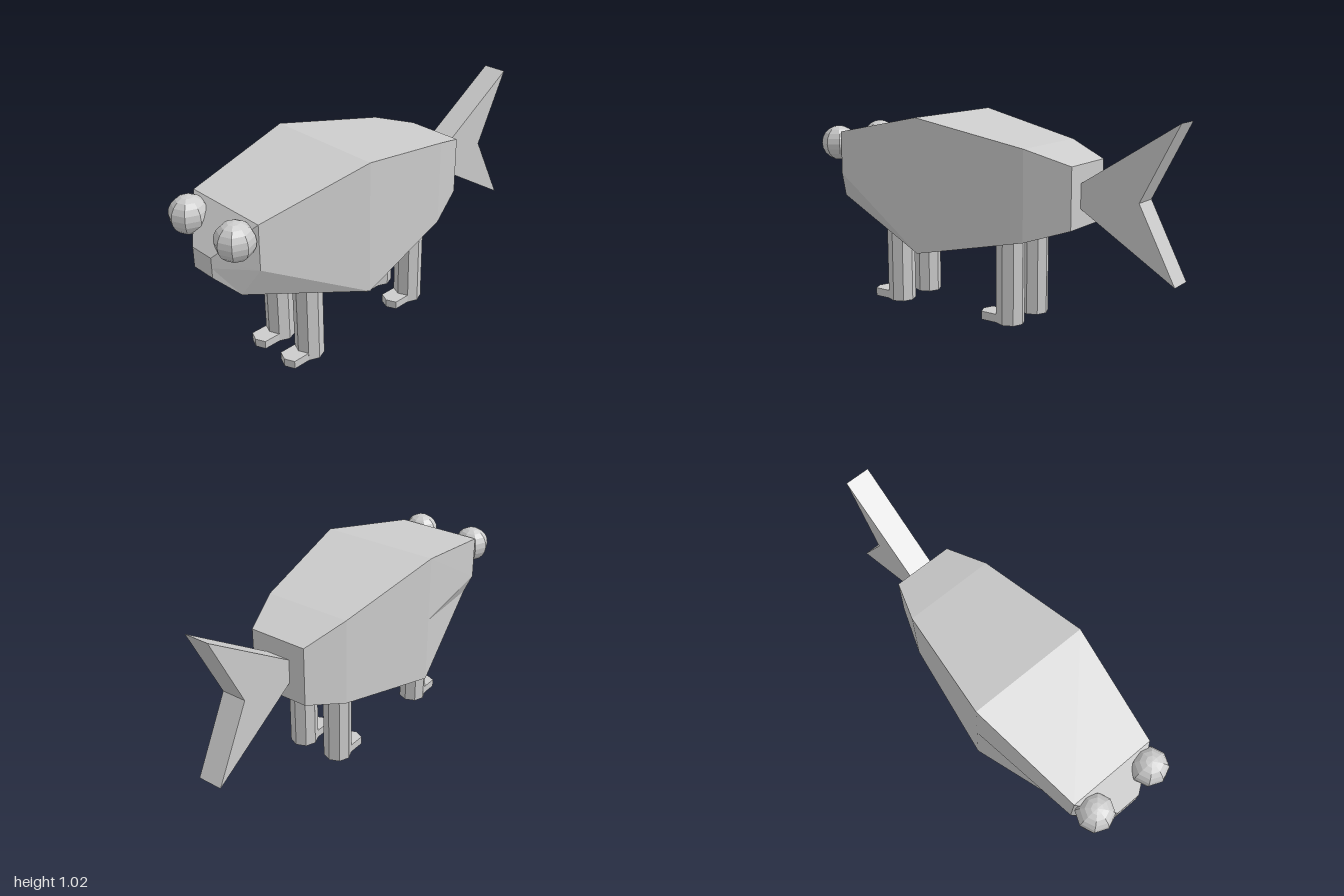
import * as THREE from 'three';

const material = new THREE.MeshStandardMaterial({ color: 0xcccccc, flatShading: true });

function addMesh(parent, name, geometry, x = 0, y = 0, z = 0) {
  const mesh = new THREE.Mesh(geometry, material);
  mesh.name = name;
  mesh.position.set(x, y, z);
  parent.add(mesh);
  return mesh;
}

function shapeFrom(points) {
  return new THREE.Shape(points.map(([x, y]) => new THREE.Vector2(x, y)));
}

// Lofts mirrored cross-sections; each section lists its +z points from top to bottom.
function loftGeometry(sections) {
  const rings = sections.map((half) => [
    ...half,
    ...[...half].reverse().map(([x, y, z]) => [x, y, -z]),
  ]);
  const n = rings[0].length;
  const index = [];
  for (let i = 0; i < rings.length - 1; i++) {
    for (let j = 0; j < n; j++) {
      const a = i * n + j;
      const b = i * n + ((j + 1) % n);
      index.push(a, b, b + n, a, b + n, a + n);
    }
  }
  const last = (rings.length - 1) * n;
  for (let j = 1; j < n - 1; j++) {
    index.push(0, j + 1, j, last, last + j, last + j + 1);
  }
  const geometry = new THREE.BufferGeometry();
  geometry.setAttribute('position', new THREE.Float32BufferAttribute(rings.flat(2), 3));
  geometry.setIndex(index);
  const flat = geometry.toNonIndexed();
  flat.computeVertexNormals();
  return flat;
}

// Box-like section standing at one x
const section = (x, top, middle, bottom, z) => [[x, top, z], [x, middle, z], [x, bottom, z]];

function createLeg(name, x, z) {
  const leg = new THREE.Group();
  leg.name = name;
  leg.position.set(x, 0, z);

  const radius = 0.071;
  const height = 0.5;
  addMesh(leg, 'shin', new THREE.CylinderGeometry(radius, radius, height, 8), 0, height / 2, 0);

  // Foot outline, laid flat and pointing forward
  const foot = new THREE.ExtrudeGeometry(
    shapeFrom([[-0.02, -0.05], [-0.02, 0.05], [-0.138, 0.05], [-0.159, 0], [-0.138, -0.05]]),
    { depth: 0.042, bevelEnabled: false },
  );
  foot.rotateX(-Math.PI / 2);
  addMesh(leg, 'foot', foot);
  return leg;
}

export function createModel() {
  const fish = new THREE.Group();
  fish.name = 'walkingFish';

  // Body from snout to tail root
  addMesh(fish, 'body', loftGeometry([
    section(-0.97, 0.7, 0.65, 0.6, 0.065),
    [[-0.832, 0.87, 0.225], [-0.835, 0.65, 0.225], [-0.885, 0.515, 0.15]],
    section(-0.262, 0.985, 0.65, 0.312, 0.305),
    section(0.308, 0.87, 0.65, 0.43, 0.225),
    section(0.52, 0.798, 0.65, 0.5, 0.15),
  ]));

  // Forked tail fin
  const tail = new THREE.ExtrudeGeometry(
    shapeFrom([[0.51, 0.59], [0.52, 0.59], [1, 0.291], [0.815, 0.65], [1, 1.017], [0.52, 0.71], [0.51, 0.71]]),
    { depth: 0.126, bevelEnabled: false },
  );
  addMesh(fish, 'tailFin', tail, 0, 0, -0.063);

  // Eyes
  for (const side of [-1, 1]) {
    addMesh(fish, side > 0 ? 'nearEye' : 'farEye', new THREE.SphereGeometry(0.091, 8, 10), -0.909, 0.8, side * 0.162);
  }

  // Two pairs of legs
  for (const [pair, x] of [['front', -0.507], ['rear', 0.184]]) {
    for (const [side, z] of [['Near', 0.14], ['Far', -0.076]]) {
      fish.add(createLeg(`${pair}${side}Leg`, x, z));
    }
  }

  return fish;
}
